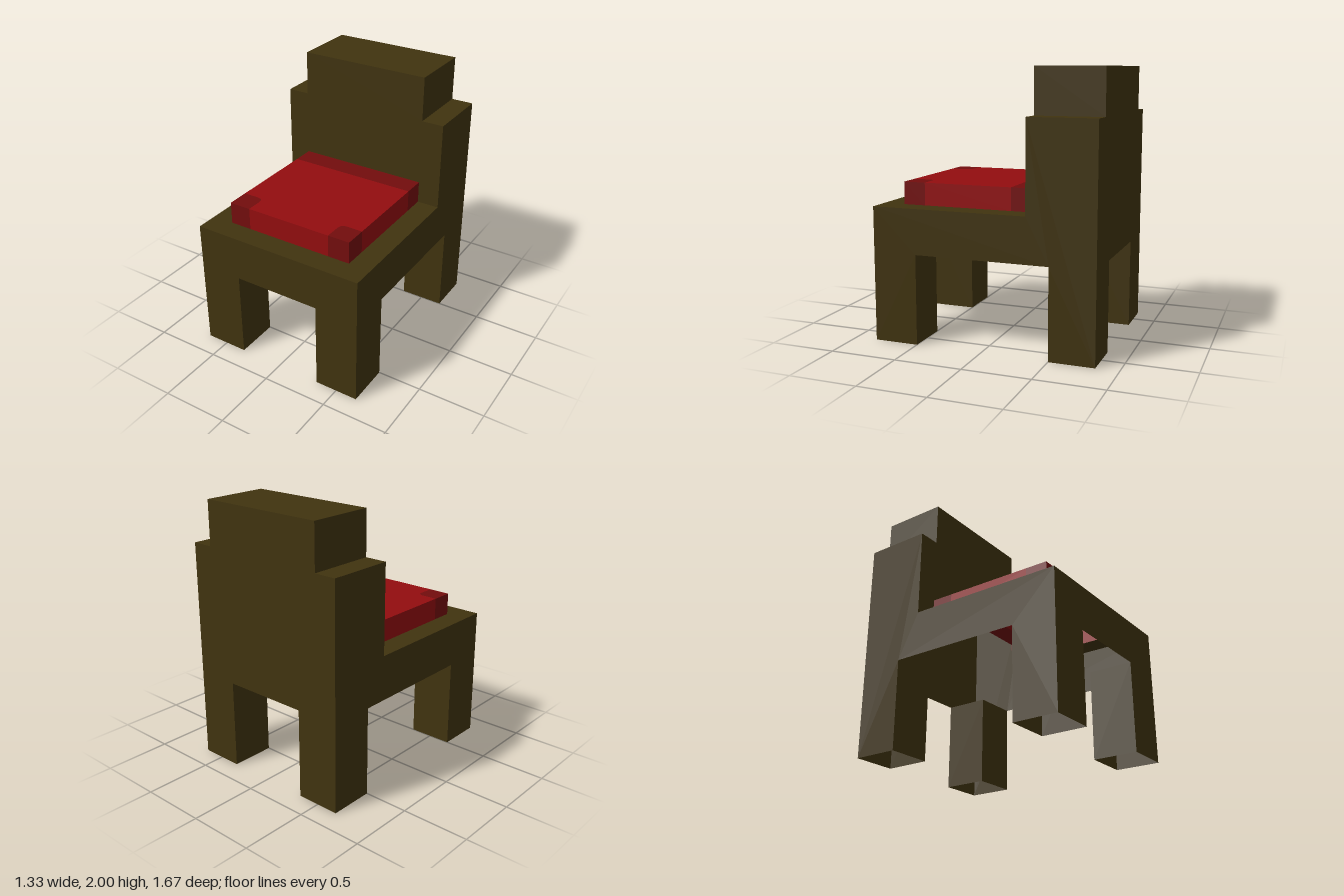
import * as THREE from 'three';

const flat = (name, color) => {
  const m = new THREE.MeshStandardMaterial({ color, side: THREE.DoubleSide });
  m.name = name;
  return m;
};

// Flat panel at a position on one axis, facing the sign's direction.
// Points are (x, y) for axis z, (z, y) for axis x and (x, z) for axis y.
function panel(parent, name, material, axis, sign, at, shape) {
  if (Array.isArray(shape)) shape = new THREE.Shape(shape.map(([a, b]) => new THREE.Vector2(a, b)));
  const geo = new THREE.ShapeGeometry(shape, 5);
  if (axis === 'x') geo.rotateY(-Math.PI / 2);
  if (axis === 'y') geo.rotateX(Math.PI / 2);
  if (sign !== (axis === 'z' ? 1 : -1)) {
    geo.index.array.reverse();
    const n = geo.attributes.normal;
    for (let i = 0; i < n.count; i++) n.setXYZ(i, -n.getX(i), -n.getY(i), -n.getZ(i));
  }
  const mesh = new THREE.Mesh(geo, material);
  mesh.name = name;
  mesh.position[axis] = at;
  parent.add(mesh);
}

const rect = (a0, b0, a1, b1) => [[a0, b0], [a1, b0], [a1, b1], [a0, b1]];

export function createModel() {
  const wood = flat('dark wood', 0x40330f);
  const red = flat('cushion red', 0x930d0f);
  const darkRed = flat('cushion dark red', 0x730d0d);

  const model = new THREE.Group();
  model.name = 'chair';
  const frame = new THREE.Group();
  frame.name = 'frame';
  const cushion = new THREE.Group();
  cushion.name = 'cushion';
  model.add(frame, cushion);

  // Hollow wooden shell, in blocks of one sixth
  panel(frame, 'frontApron', wood, 'z', 1, 5,
    [[-4, 0], [-2, 0], [-2, 4], [2, 4], [2, 0], [4, 0], [4, 6], [-4, 6]]);
  panel(frame, 'backWall', wood, 'z', -1, -5,
    [[-4, 0], [-2, 0], [-2, 4], [2, 4], [2, 0], [4, 0], [4, 10], [3, 10], [3, 12], [-3, 12], [-3, 10], [-4, 10]]);
  panel(frame, 'seatTop', wood, 'y', 1, 6,
    [[-4, -2], [-3, -2], [-3, 4], [3, 4], [3, -2], [4, -2], [4, 5], [-4, 5]]);
  panel(frame, 'backrestFront', wood, 'z', 1, -2,
    [[-4, 6], [-3, 6], [-3, 7], [3, 7], [3, 6], [4, 6], [4, 10], [3, 10], [3, 12], [-3, 12], [-3, 10], [-4, 10]]);
  panel(frame, 'backrestTop', wood, 'y', 1, 12, rect(-3, -5, 3, -2));

  for (const s of [-1, 1]) {
    panel(frame, 'sideWall', wood, 'x', s, 4 * s,
      [[-5, 0], [-3, 0], [-3, 4], [3, 4], [3, 0], [5, 0], [5, 6], [-2, 6], [-2, 10], [-5, 10]]);
    panel(frame, 'backrestShoulder', wood, 'y', 1, 10, rect(3 * s, -5, 4 * s, -2));
    panel(frame, 'backrestUpperSide', wood, 'x', s, 3 * s, rect(-5, 10, -2, 12));
    // Inner leg faces, open at the foot
    for (const t of [-1, 1]) {
      panel(frame, 'legInnerSide', wood, 'x', -s, 2 * s, rect(3 * t, 0, 5 * t, 4));
      panel(frame, 'legInnerEnd', wood, 'z', -t, 3 * t, rect(2 * s, 0, 4 * s, 4));
    }
  }

  // Cushion top with dark front corners and a dark back band
  const r = 0.3;
  const top = new THREE.Shape();
  top.moveTo(-3, -1);
  top.lineTo(3, -1);
  top.lineTo(3, 3);
  top.lineTo(2 + r, 3);
  top.quadraticCurveTo(2, 3, 2, 3 + r);
  top.lineTo(2, 4);
  top.lineTo(-2, 4);
  top.lineTo(-2, 3 + r);
  top.quadraticCurveTo(-2, 3, -2 - r, 3);
  top.lineTo(-3, 3);
  panel(cushion, 'cushionTop', red, 'y', 1, 7, top);
  panel(cushion, 'cushionBackBand', darkRed, 'y', 1, 7, rect(-3, -2, 3, -1));
  panel(cushion, 'cushionFront', red, 'z', 1, 4, rect(-2, 6, 2, 7));
  for (const s of [-1, 1]) {
    const corner = new THREE.Shape();
    corner.moveTo(3 * s, 3);
    corner.lineTo((2 + r) * s, 3);
    corner.quadraticCurveTo(2 * s, 3, 2 * s, 3 + r);
    corner.lineTo(2 * s, 4);
    corner.lineTo(3 * s, 4);
    panel(cushion, 'cushionTopCorner', darkRed, 'y', 1, 7, corner);
    panel(cushion, 'cushionFrontCorner', darkRed, 'z', 1, 4, rect(2 * s, 6, 3 * s, 7));
    panel(cushion, 'cushionSide', red, 'x', s, 3 * s, rect(-1, 6, 3, 7));
    panel(cushion, 'cushionSideFront', darkRed, 'x', s, 3 * s, rect(3, 6, 4, 7));
    panel(cushion, 'cushionSideBack', darkRed, 'x', s, 3 * s, rect(-2, 6, -1, 7));
  }

  model.scale.setScalar(1 / 6);
  return model;
}
